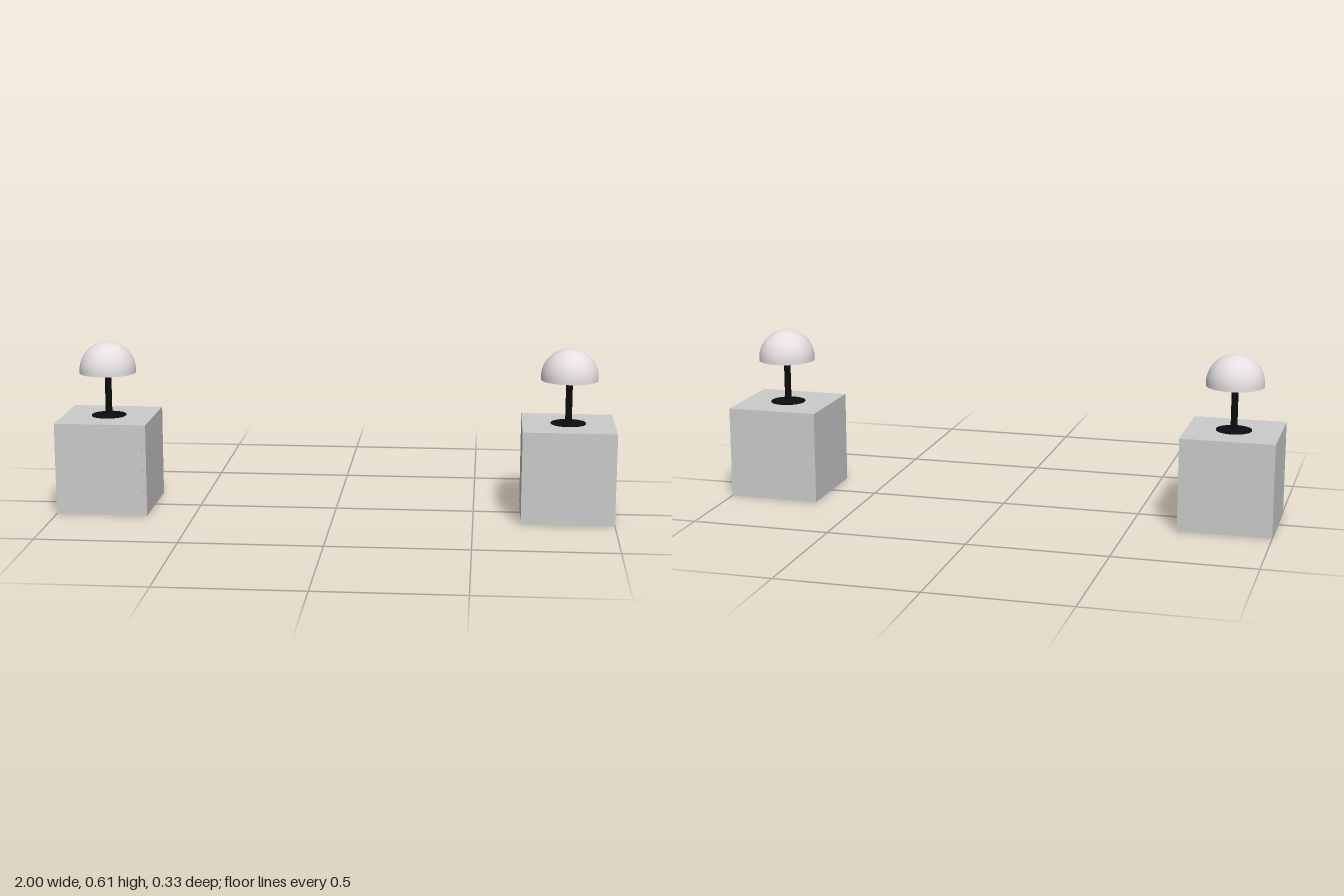
import * as THREE from 'three';

const grey = new THREE.MeshStandardMaterial({ color: 0xcccccc });
const black = new THREE.MeshStandardMaterial({ color: 0x0c0c0c });
const pearl = new THREE.MeshStandardMaterial({ color: 0xe4dfe1, side: THREE.DoubleSide });

function add(group, name, geometry, material, y, z = 0) {
  const mesh = new THREE.Mesh(geometry, material);
  mesh.name = name;
  mesh.position.set(0, y, z);
  group.add(mesh);
}

function createLamp() {
  const lamp = new THREE.Group();
  lamp.name = 'lamp';

  // Flat foot with a shallow cone on top
  const foot = [[0, 0], [0.063, 0], [0.063, 0.003], [0.012, 0.011], [0, 0.011]];
  const footGeometry = new THREE.LatheGeometry(foot.map(([r, y]) => new THREE.Vector2(r, y)), 40);
  add(lamp, 'lampFoot', footGeometry, black, 0.333);

  // Slim stem ending just inside the shade
  add(lamp, 'lampStem', new THREE.CylinderGeometry(0.012, 0.012, 0.172, 24), black, 0.421);

  // Open dome shade with a short straight rim
  const R = 0.102;
  const profile = [new THREE.Vector2(R, -0.011)];
  for (let i = 0; i <= 20; i++) {
    const a = (i / 20) * Math.PI / 2;
    profile.push(new THREE.Vector2(R * Math.cos(a), R * Math.sin(a)));
  }
  add(lamp, 'lampShade', new THREE.LatheGeometry(profile, 48), pearl, 0.503);
  return lamp;
}

function createNightstand() {
  const stand = new THREE.Group();
  stand.name = 'nightstand';
  // Cube body with a thin drawer front standing slightly proud
  add(stand, 'cabinet', new THREE.BoxGeometry(0.331, 0.333, 0.332), grey, 0.1665, -0.0005);
  add(stand, 'drawerFront', new THREE.BoxGeometry(0.303, 0.303, 0.004), grey, 0.1665, 0.165);
  return stand;
}

export function createModel() {
  const model = new THREE.Group();
  model.name = 'bedsidePair';
  for (const side of [-1, 1]) {
    const set = new THREE.Group();
    set.name = side > 0 ? 'leftSet' : 'rightSet';
    set.add(createNightstand(), createLamp());
    set.position.x = side * 0.8345;
    model.add(set);
  }
  return model;
}
